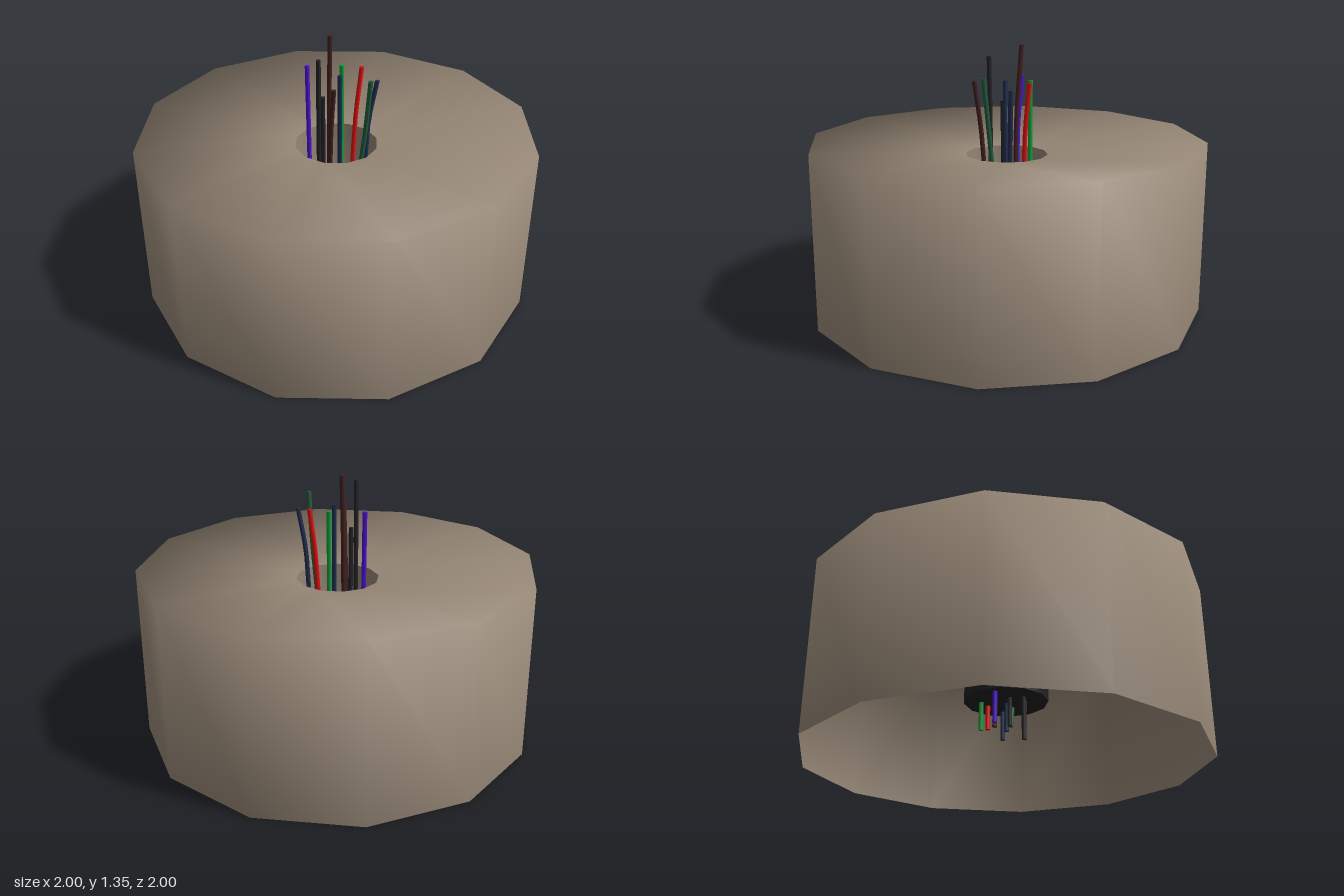
import * as THREE from 'three';
import { mergeVertices } from 'three/addons/utils/BufferGeometryUtils.js';

const SIDES = 12;

const paint = (name, color, side = THREE.FrontSide) => {
  const m = new THREE.MeshStandardMaterial({ color, side });
  m.name = name;
  return m;
};

// Revolved sheet whose normals are smoothed over every edge, seam included
function smoothLathe(profile) {
  const raw = new THREE.LatheGeometry(profile.map(p => new THREE.Vector2(...p)), SIDES);
  raw.deleteAttribute('uv');
  raw.deleteAttribute('normal');
  const g = mergeVertices(raw, 1e-4);
  g.computeVertexNormals();
  return g;
}

// Thin capped rod bent along a curve through three points
function wireGeometry(points) {
  const path = new THREE.CatmullRomCurve3(points.map(p => new THREE.Vector3(...p)));
  const g = new THREE.CylinderGeometry(0.012, 0.012, 1, 7, 8);
  const pos = g.attributes.position;
  for (let i = 0; i < pos.count; i++) {
    const c = path.getPoint(THREE.MathUtils.clamp(pos.getY(i) + 0.5, 0, 1));
    pos.setXYZ(i, pos.getX(i) + c.x, c.y, pos.getZ(i) + c.z);
  }
  g.computeVertexNormals();
  return g;
}

export function createModel() {
  const model = new THREE.Group();
  const add = (name, geometry, material, parent = model) => {
    const mesh = new THREE.Mesh(geometry, material);
    mesh.name = name;
    parent.add(mesh);
    return mesh;
  };

  const clay = paint('clay', 0x968776, THREE.DoubleSide);
  const coreBlack = paint('coreBlack', 0x202020);
  const colours = {
    purple: paint('purple', 0x4a10d0),
    green: paint('green', 0x109a36),
    darkGreen: paint('darkGreen', 0x215c3a),
    red: paint('red', 0xe01010),
    navy: paint('navy', 0x1e2c4c),
    maroon: paint('maroon', 0x401e1e),
    charcoal: paint('charcoal', 0x222226),
  };

  // Open-bottomed shell: wall, then a top dipping gently to the hole
  add('shell', smoothLathe([[1, 0], [1, 0.88], [0.21, 0.8]]), clay);
  add('holeWall', smoothLathe([[0.21, 0.8], [0.21, 0.55]]), clay);

  // Solid plug hanging below the hole
  const core = add('core', new THREE.CylinderGeometry(0.21, 0.21, 0.25, SIDES), coreBlack);
  core.position.y = 0.43;

  // Wires: colour, then bottom, middle and top points
  const wires = new THREE.Group();
  wires.name = 'wires';
  model.add(wires);
  [
    ['purple', [-0.11, 0.15, -0.11], [-0.117, 0.9, -0.113], [-0.115, 1.175, -0.135]],
    ['green', [0.055, 0.16, -0.11], [0.055, 0.9, -0.105], [0.055, 1.175, -0.105]],
    ['maroon', [-0.02, 0.16, -0.07], [-0.022, 0.9, -0.06], [-0.01, 1.345, -0.085]],
    ['red', [0.085, 0.18, -0.06], [0.113, 0.9, -0.05], [0.145, 1.175, -0.06]],
    ['charcoal', [-0.065, 0.16, -0.01], [-0.065, 0.8, -0.008], [-0.067, 1.06, -0.005]],
    ['charcoal', [-0.1, 0.09, 0.05], [-0.1, 0.9, 0.048], [-0.1, 1.285, 0.055]],
    ['navy', [0.015, 0.16, 0.01], [0.015, 0.9, 0.013], [0.015, 1.175, 0.015]],
    ['navy', [0.135, 0.155, 0.045], [0.152, 0.9, 0.045], [0.19, 1.15, 0.06]],
    ['maroon', [-0.055, 0.17, 0.07], [-0.055, 0.9, 0.115], [-0.05, 1.17, 0.155]],
    ['darkGreen', [0.05, 0.2, 0.05], [0.11, 0.9, 0.137], [0.125, 1.205, 0.173]],
  ].forEach(([colour, ...points]) => add(`${colour}Wire`, wireGeometry(points), colours[colour], wires));

  return model;
}
